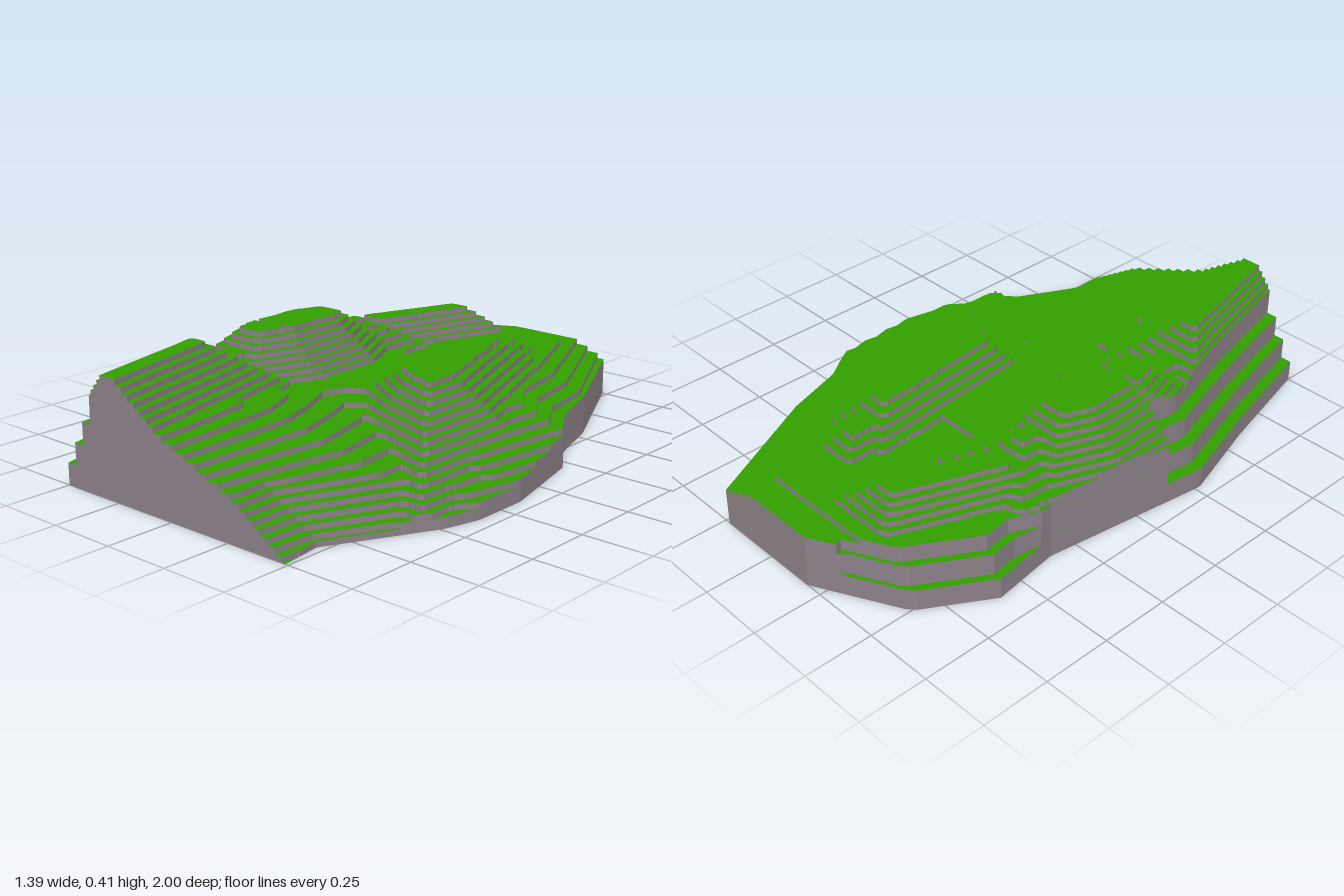
import * as THREE from 'three';

const STEP = 0.0195; // terrace height

// Left outline: z, x
const LEFT = [
  [1, -0.5], [0.6, -0.6], [0.27, -0.7], [-0.35, -0.61], [-0.6, -0.645], [-0.84, -0.5], [-1, -0.19],
];
// Right outline: z, x, wall height, slope of the ground inwards
const RIGHT = [
  [1, 0.49, 0, 0.66], [0.85, 0.47, 0.02, 0.6], [0.49, 0.66, 0.02, 0.5], [0.36, 0.695, 0.05, 0.43],
  [0.15, 0.695, 0.07, 0.42], [-0.2, 0.61, 0.125, 0.35], [-0.33, 0.52, 0.13, 0.32],
  [-0.55, 0.45, 0.14, 0.32], [-1, 0.23, 0.135, 0.4],
];
// Valley floor: z, height, tilt down towards the right
const VALLEY = [
  [1, 0.25, 0.4], [0.53, 0.235, 0.25], [0.25, 0.21, 0.2], [0.1, 0.23, 0], [-0.6, 0.22, 0], [-0.84, 0.215, 0], [-1, 0.185, 0],
];
// Ledge width of the left cliffs: z, width; almost nothing where the wall is sheer
const LEDGES = [[1, 0.042], [0.15, 0.045], [0.125, 0.0005], [-0.4, 0.0005], [-0.5, 0.03], [-0.925, 0.03], [-0.95, 0.0005], [-1, 0.0005]];
const CLIFFS = [0.085, 0.155, 0.24, 0.33];

// Hills: flat convex top as x, z corners, with sides of one slope
const HILLS = [
  { top: 0.415, slope: 0.7, corners: [[-0.45, 0.53], [-0.38, 0.53], [-0.265, 1], [-0.37, 1]] },
  {
    top: 0.385, slope: 0.87,
    corners: [[-0.46, -0.16], [-0.37, -0.16], [-0.34, -0.1], [-0.34, 0.13], [-0.38, 0.25], [-0.47, 0.25], [-0.5, 0.16], [-0.5, -0.06]],
  },
  { top: 0.31, slope: 0.95, corners: [[-0.32, -0.75], [-0.26, -0.75], [-0.38, -0.39], [-0.46, -0.39]] },
  { top: 0.305, slope: 0.75, corners: [[0.06, -0.47], [0.13, -0.47], [0.3, 0], [0.3, 0.13], [0.2, 0.1], [0.1, 0.04]] },
  // Tail of the right hill
  { top: 0.265, slope: 0.75, corners: [[0.03, -0.63], [0.08, -0.63], [0.17, -0.45], [0.03, -0.45]] },
  // Low saddle joining the left hills
  { top: 0.325, slope: 0.6, corners: [[-0.43, -0.3], [-0.38, -0.3], [-0.38, 0.45], [-0.46, 0.45]] },
];

const ROWS = 80, COLUMNS = 60;
const GAP = 0.0002; // run of a sheer cliff face

// Values of a table at a given z
function lookUp(table, z) {
  const i = Math.min(table.length - 2, Math.max(0, table.findIndex((row) => row[0] <= z) - 1));
  const a = table[i], b = table[i + 1];
  const t = (z - a[0]) / (b[0] - a[0]);
  return a.slice(1).map((v, k) => v + (b[k + 1] - v) * t);
}

function hillHeight({ top, slope, corners }, x, z) {
  let away = 0;
  corners.forEach(([ax, az], i) => {
    const [bx, bz] = corners[(i + 1) % corners.length];
    const ex = bx - ax, ez = bz - az;
    away = Math.max(away, (ez * (x - ax) - ex * (z - az)) / Math.hypot(ex, ez));
  });
  return top - slope * away;
}

// One row of surface points from left to right; h is counted in terraces
function makeRow(z) {
  const [left] = lookUp(LEFT, z);
  const [right, rim, slope] = lookUp(RIGHT, z);
  const [floor, tilt] = lookUp(VALLEY, z);
  const [ledge] = lookUp(LEDGES, z);
  const place = (x, cap) => {
    const valley = Math.min(floor - tilt * Math.max(x, -0.1), rim + slope * (right - x));
    const y = Math.max(valley, ...HILLS.map((hill) => hillHeight(hill, x, z)));
    return { x, z, h: Math.min(y, cap) / STEP + 0.5 };
  };
  const row = [];
  for (let i = 0; i < 3; i++) {
    row.push(place(left + i * ledge + (i ? GAP : 0), CLIFFS[i]), place(left + (i + 1) * ledge, CLIFFS[i]));
  }
  const start = left + 3 * ledge + GAP;
  for (let j = 0; j <= COLUMNS; j++) {
    const x = start + ((right - start) * j) / COLUMNS;
    row.push(place(x, CLIFFS[3] + 1.2 * (x - start)));
  }
  return row;
}

const cross = (p, q, level) => {
  const t = (level - p.h) / (q.h - p.h);
  return { x: p.x + (q.x - p.x) * t, z: p.z + (q.z - p.z) * t, h: level };
};

// Keep the part of a polygon above (sign 1) or below (sign -1) a level
function clip(poly, level, sign) {
  const out = [];
  poly.forEach((p, i) => {
    const q = poly[(i + 1) % poly.length];
    const a = (p.h - level) * sign, b = (q.h - level) * sign;
    if (a >= 0) out.push(p);
    if (a * b < 0) out.push(cross(p, q, level));
  });
  return out;
}

function addFan(list, pts) {
  for (let i = 1; i < pts.length - 1; i++) list.push(...pts[0], ...pts[i], ...pts[i + 1]);
}

const at = (p, level) => [p.x, level * STEP, p.z];
const addWall = (list, p, q, low, high) =>
  addFan(list, [at(p, low), at(q, low), at(q, high), at(p, high)]);

// Cut one sloping triangle into flat treads and upright risers
function terrace(tri, treads, risers) {
  const hs = tri.map((p) => p.h);
  for (let k = Math.floor(Math.min(...hs)); k <= Math.max(...hs); k++) {
    const band = clip(clip(tri, k, 1), k + 1, -1);
    if (band.length < 3) continue;
    addFan(treads, band.map((p) => at(p, k)));
    band.forEach((p, i) => {
      const q = band[(i + 1) % band.length];
      if (p.h === k + 1 && q.h === k + 1) addWall(risers, q, p, k, k + 1);
    });
  }
}

// Outer wall below one edge of the outline, stepped with the terraces
function skirt(p, q, walls) {
  const cuts = [];
  for (let k = Math.ceil(Math.min(p.h, q.h)); k < Math.max(p.h, q.h); k++) cuts.push(cross(p, q, k));
  if (p.h > q.h) cuts.reverse();
  const path = [p, ...cuts, q];
  for (let i = 0; i < path.length - 1; i++) {
    const top = Math.floor((path[i].h + path[i + 1].h) / 2);
    if (top > 0) addWall(walls, path[i], path[i + 1], 0, top);
  }
}

function makeMesh(name, positions, color) {
  const geometry = new THREE.BufferGeometry();
  geometry.setAttribute('position', new THREE.Float32BufferAttribute(positions, 3));
  geometry.computeVertexNormals();
  const mesh = new THREE.Mesh(geometry, new THREE.MeshStandardMaterial({ color, side: THREE.DoubleSide }));
  mesh.name = name;
  return mesh;
}

export function createModel() {
  const grid = Array.from({ length: ROWS + 1 }, (_, i) => makeRow(1 - (2 * i) / ROWS));
  const treads = [], risers = [], walls = [];

  // Terraced surface
  for (let i = 0; i < ROWS; i++) {
    for (let j = 0; j < grid[i].length - 1; j++) {
      const a = grid[i][j], b = grid[i][j + 1], c = grid[i + 1][j + 1], d = grid[i + 1][j];
      terrace([a, b, c], treads, risers);
      terrace([a, c, d], treads, risers);
    }
  }

  // Outer walls around the front, right, back and left; the underside stays open
  const outline = [
    ...grid[0],
    ...grid.slice(1).map((row) => row[row.length - 1]),
    ...grid[ROWS].slice(0, -1).reverse(),
    ...grid.slice(1, -1).reverse().map((row) => row[0]),
  ];
  outline.forEach((p, i) => skirt(p, outline[(i + 1) % outline.length], walls));

  const group = new THREE.Group();
  group.name = 'terracedHill';
  group.add(
    makeMesh('grassTreads', treads, 0x339f00),
    makeMesh('rockRisers', risers, 0x8c8088),
    makeMesh('outerWalls', walls, 0x8c8088),
  );
  return group;
}
